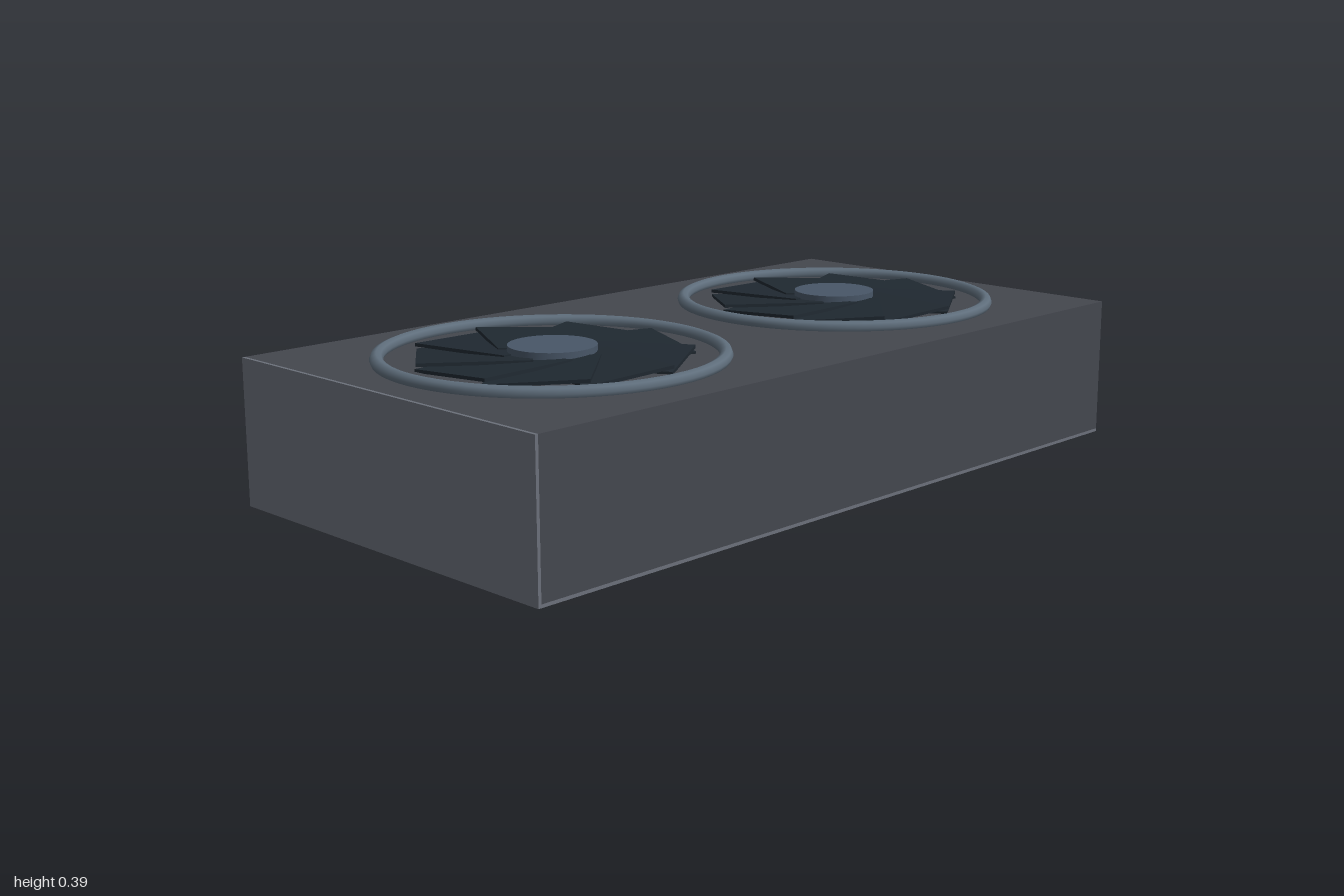
import * as THREE from 'three';

const mat = (color, flat = false) => new THREE.MeshStandardMaterial({ color, flatShading: flat });

export function createModel() {
  const group = new THREE.Group();
  const W = 2, H = 0.358, D = 1.03, T = 0.008;
  const caseMat = mat(0x44474e), trimMat = mat(0x6b707a);
  const ringMat = mat(0x5f6e7c), bladeMat = mat(0x1f2830), hubMat = mat(0x485667);

  const add = (parent, name, geometry, material, x, y, z) => {
    const mesh = new THREE.Mesh(geometry, material);
    mesh.name = name;
    mesh.position.set(x, y, z);
    parent.add(mesh);
    return mesh;
  };

  // Casing with a thin base plate and end plate
  add(group, 'casing', new THREE.BoxGeometry(W - T, H - T, D), caseMat, T / 2, (H + T) / 2, 0);
  add(group, 'basePlate', new THREE.BoxGeometry(W - T, T, D), trimMat, T / 2, T / 2, 0);
  add(group, 'endPlate', new THREE.BoxGeometry(T, H, D), trimMat, -W / 2 + T / 2, H / 2, 0);

  // Two identical fans on the top face
  const BLADES = 9, REACH = 0.312;
  const bladeGeo = new THREE.BoxGeometry(REACH - 0.05, 0.008, 0.236);
  const ringGeo = new THREE.TorusGeometry(0.402, 0.016, 8, 64).rotateX(Math.PI / 2);
  const hubGeo = new THREE.CylinderGeometry(0.105, 0.105, 0.034, 32);
  for (const x of [-0.5, 0.5]) {
    const fan = new THREE.Group();
    fan.name = x < 0 ? 'rightFan' : 'leftFan';
    fan.position.set(x, H, 0);
    group.add(fan);
    add(fan, 'ring', ringGeo, ringMat, 0, 0.009, 0);
    add(fan, 'hub', hubGeo, hubMat, 0, 0.015, 0);

    // Overlapping pitched blades, each one raised over the next
    for (let i = 0; i < BLADES; i++) {
      const spoke = new THREE.Group();
      spoke.name = 'bladeSpoke';
      spoke.rotation.y = THREE.MathUtils.degToRad(22) + (i / BLADES) * Math.PI * 2;
      const blade = add(spoke, 'blade', bladeGeo, bladeMat, 0.05 + (REACH - 0.05) / 2, 0.009, 0);
      blade.rotation.x = 0.06;
      fan.add(spoke);
    }
  }
  return group;
}
